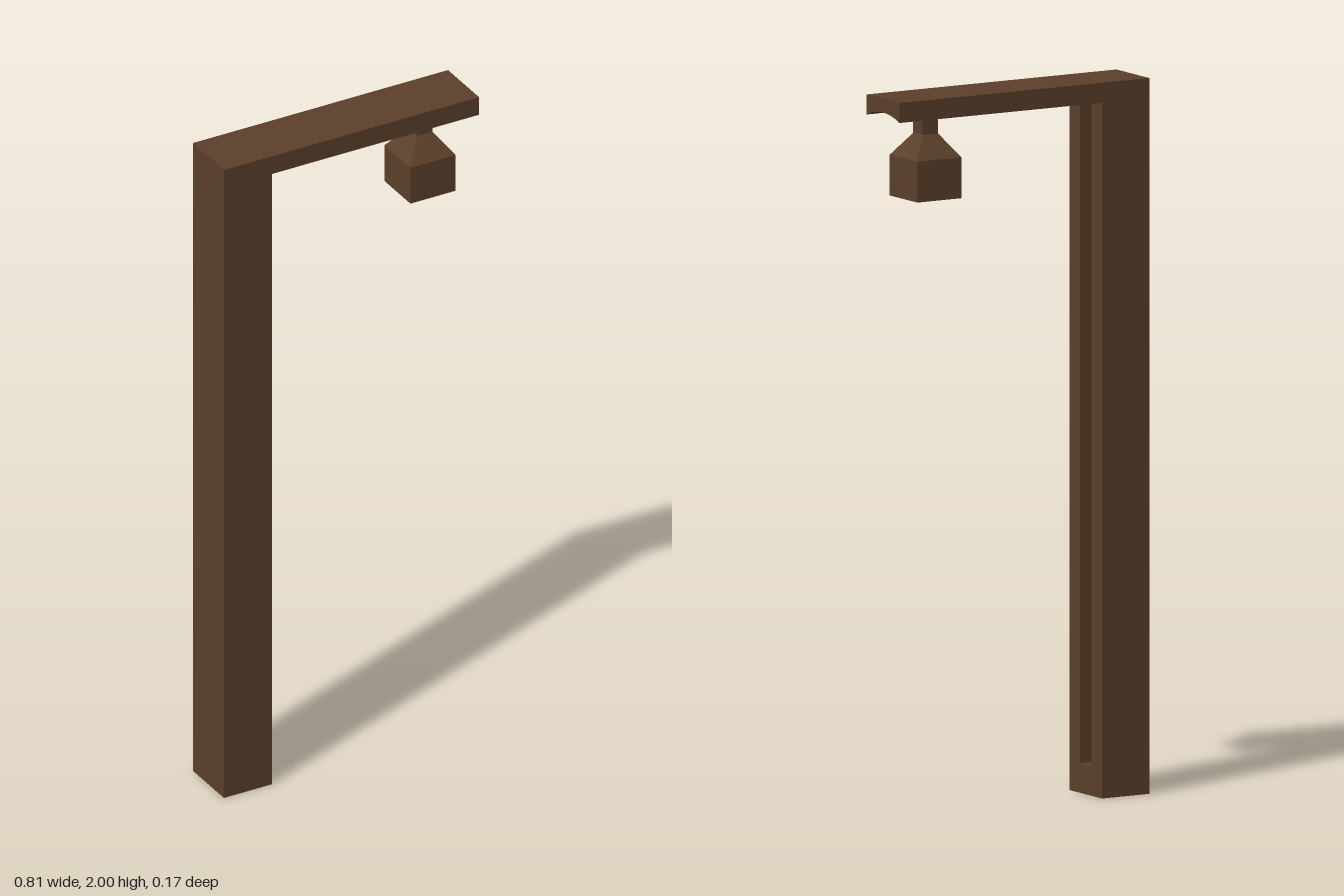
import * as THREE from 'three';

const HALF = 0.086, X0 = -0.405, POST_FACE = -0.252, GROOVE_FLOOR = -0.302;

// Extrudes a (z, y) shape along x from x0 to x1
function extrudeX(shape, x0, x1) {
  const g = new THREE.ExtrudeGeometry(shape, { depth: x1 - x0, bevelEnabled: false, curveSegments: 10 });
  return g.rotateY(Math.PI / 2).translate(x0, 0, 0);
}

function rectangle(Type, half, y0, y1) {
  return new Type([[-half, y0], [half, y0], [half, y1], [-half, y1]].map(p => new THREE.Vector2(...p)));
}

export function createModel() {
  const wood = new THREE.MeshStandardMaterial({ color: 0x5c402b, flatShading: true });
  wood.name = 'dark brown';
  const model = new THREE.Group();
  model.name = 'lampPost';
  const add = (parent, name, geometry) => {
    const mesh = new THREE.Mesh(geometry, wood);
    mesh.name = name;
    parent.add(mesh);
  };

  // Post: solid back and a front slab with a long groove cut through it
  const post = new THREE.Group();
  post.name = 'post';
  model.add(post);
  add(post, 'postBack', extrudeX(rectangle(THREE.Shape, HALF, 0, 2), X0, GROOVE_FLOOR));
  const slab = rectangle(THREE.Shape, HALF, 0, 2);
  slab.holes.push(rectangle(THREE.Path, 0.03, 0.083, 1.955));
  add(post, 'groovedSlab', extrudeX(slab, GROOVE_FLOOR, POST_FACE));

  // Arm with an arched underside
  const arm = new THREE.Shape();
  arm.moveTo(-HALF, 2);
  arm.lineTo(-HALF, 1.944);
  arm.quadraticCurveTo(0, 1.978, HALF, 1.944);
  arm.lineTo(HALF, 2);
  add(model, 'arm', extrudeX(arm, POST_FACE, -X0));

  // Square hanging lamp, hollow from below, with sloped roof and stem
  const profile = [
    [0, 1.765], [0.042, 1.765], [0.042, 1.714], [0.072, 1.714],
    [0.072, 1.828], [0.025, 1.892], [0.025, 1.97],
  ].map(([r, y]) => new THREE.Vector2(r * Math.SQRT2, y));
  const lamp = new THREE.LatheGeometry(profile, 4, Math.PI / 4).translate(0.267, 0, 0);
  add(model, 'hangingLamp', lamp);

  return model;
}
